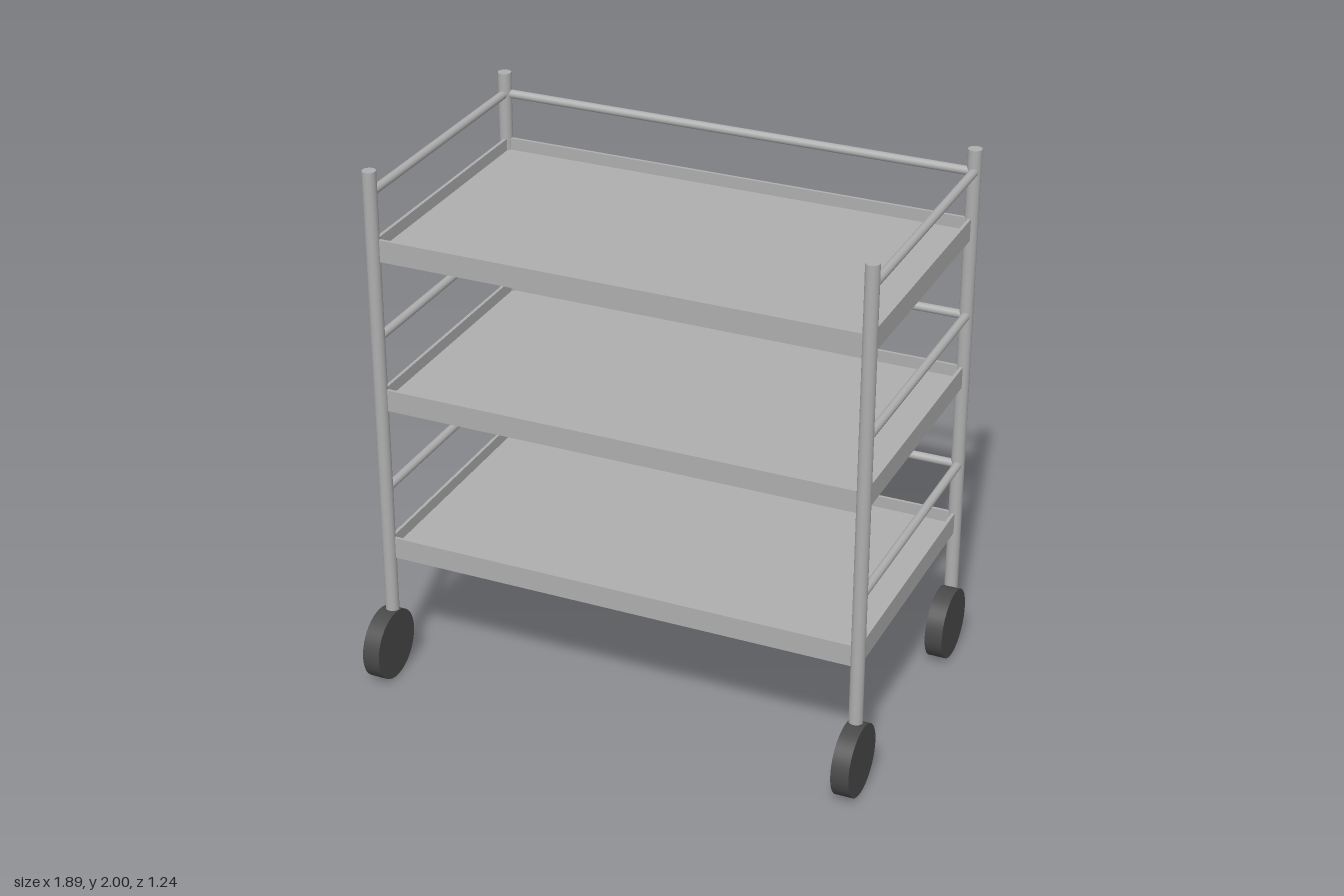
import * as THREE from 'three';

export function createModel() {
  const root = new THREE.Group();
  root.name = 'shelfTrolley';
  const metal = new THREE.MeshStandardMaterial({ color: 0xaeaeae });
  const rubber = new THREE.MeshStandardMaterial({ color: 0x4a4a4a });

  const add = (parent, name, geometry, material, x, y, z) => {
    const mesh = new THREE.Mesh(geometry, material);
    mesh.name = name;
    mesh.position.set(x, y, z);
    parent.add(mesh);
    return mesh;
  };

  // Round bar between two points
  const bar = (name, a, b, radius) => {
    const dir = new THREE.Vector3().subVectors(b, a);
    const mid = new THREE.Vector3().addVectors(a, b).multiplyScalar(0.5);
    const mesh = add(root, name, new THREE.CylinderGeometry(radius, radius, dir.length(), 24), metal, mid.x, mid.y, mid.z);
    mesh.quaternion.setFromUnitVectors(new THREE.Vector3(0, 1, 0), dir.normalize());
  };

  // Corner posts, each standing in a wheel
  const corners = [
    { name: 'frontRight', x: -0.908, z: 0.455, wheelX: -0.914, wheelZ: 0.487 },
    { name: 'frontLeft', x: 0.904, z: 0.455, wheelX: 0.911, wheelZ: 0.487 },
    { name: 'backLeft', x: 0.901, z: -0.562, wheelX: 0.911, wheelZ: -0.48 },
    { name: 'backRight', x: -0.908, z: -0.553, wheelX: -0.914, wheelZ: -0.487 },
  ];
  const wheelRadius = 0.133;
  for (const c of corners) {
    bar(c.name + 'Post', new THREE.Vector3(c.x, 0.18, c.z), new THREE.Vector3(c.x, 2, c.z), 0.025);
    const wheel = add(root, c.name + 'Wheel', new THREE.CylinderGeometry(wheelRadius, wheelRadius, 0.066, 40),
      rubber, c.wheelX, wheelRadius, c.wheelZ);
    wheel.rotation.z = Math.PI / 2;
  }

  // Shallow trays: slab floor with four raised lips
  const x0 = -0.907, x1 = 0.907, z0 = -0.555, z1 = 0.455;
  const w = x1 - x0, d = z1 - z0, cx = (x0 + x1) / 2, cz = (z0 + z1) / 2;
  const lip = 0.082, t = 0.012, floor = 0.037;
  [0.484, 1.086, 1.664].forEach((y, i) => {
    const tray = new THREE.Group();
    tray.name = 'tray' + (i + 1);
    tray.position.y = y;
    root.add(tray);
    add(tray, 'trayFloor', new THREE.BoxGeometry(w - 2 * t, floor, d - 2 * t), metal, cx, floor / 2, cz);
    for (const z of [z0 + t / 2, z1 - t / 2])
      add(tray, 'longLip', new THREE.BoxGeometry(w, lip, t), metal, cx, lip / 2, z);
    for (const x of [x0 + t / 2, x1 - t / 2])
      add(tray, 'sideLip', new THREE.BoxGeometry(t, lip, d - 2 * t), metal, x, lip / 2, cz);
  });

  // Guard rails on the back and both sides, front left open
  const backZ = -0.557, frontZ = 0.455, rightX = -0.908, leftX = 0.904;
  for (const y of [0.764, 1.367, 1.917]) {
    const backRight = new THREE.Vector3(rightX, y, backZ);
    const backLeft = new THREE.Vector3(leftX, y, backZ);
    bar('backRail', backRight, backLeft, 0.016);
    bar('rightRail', new THREE.Vector3(rightX, y, frontZ), backRight, 0.016);
    bar('leftRail', new THREE.Vector3(leftX, y, frontZ), backLeft, 0.016);
  }

  return root;
}
